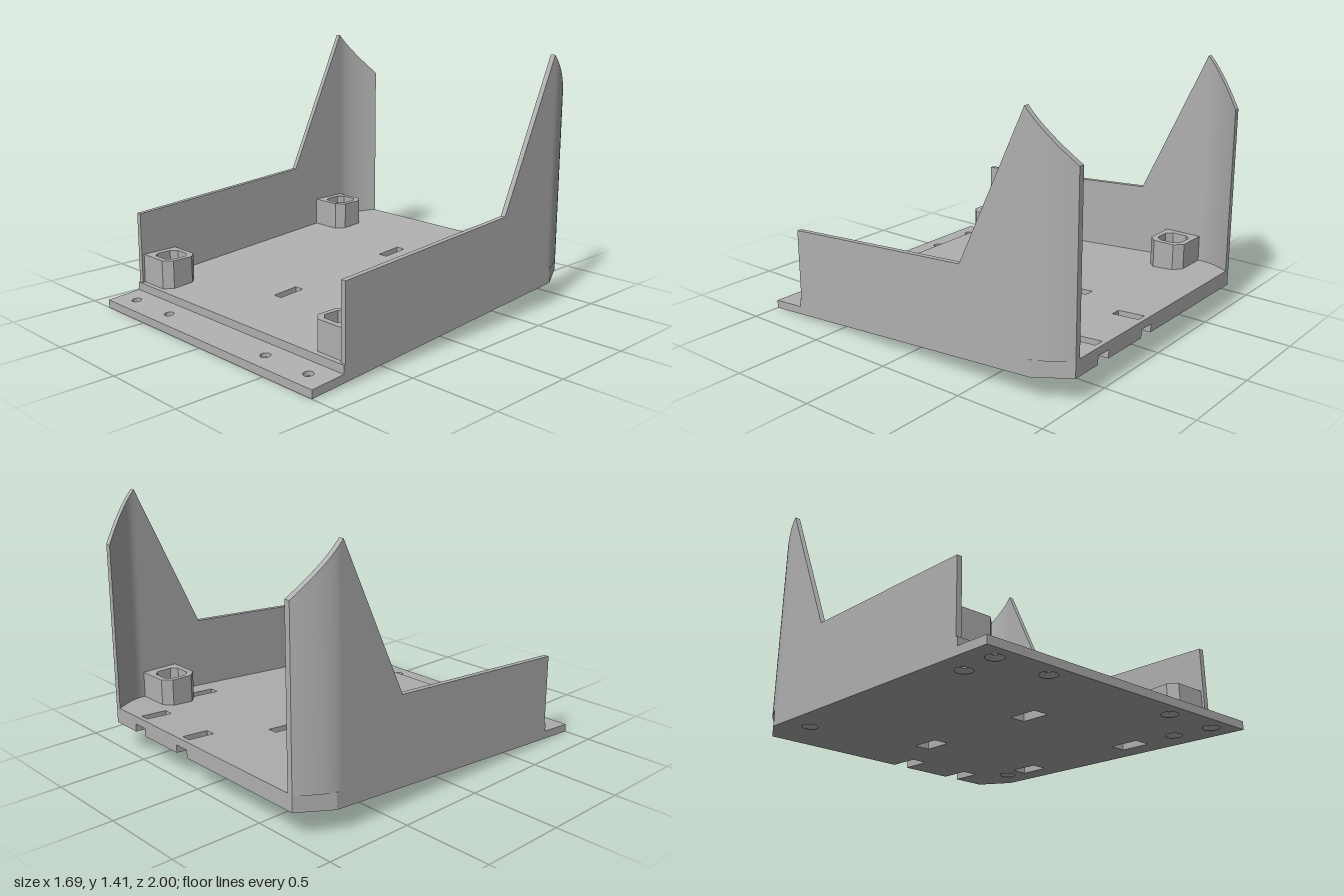
import * as THREE from 'three';
import { toCreasedNormals } from 'three/addons/utils/BufferGeometryUtils.js';

const SLOPE = 0.0725;
const THICK = 0.09;
const rise = z => SLOPE * (1 - z); // underside height at depth z

// Closed outline from [x, z] points; shape y is -z
const outline = (pts, Type = THREE.Shape) =>
  new Type(pts.map(([x, z]) => new THREE.Vector2(x, -z)));
const rect = (x0, x1, z0, z1) =>
  outline([[x0, z0], [x1, z0], [x1, z1], [x0, z1]], THREE.Path);
const circle = (x, z, r) => new THREE.Path().absarc(x, -z, r, 0, Math.PI * 2, true);

// Upright extrusion between two heights, sheared along the slope on request
function slab(shape, y0, y1, sheared) {
  const g = new THREE.ExtrudeGeometry(shape, { depth: y1 - y0, bevelEnabled: false, curveSegments: 16 });
  g.rotateX(-Math.PI / 2).translate(0, y0, 0);
  if (sheared) {
    const p = g.attributes.position;
    for (let i = 0; i < p.count; i++) p.setY(i, p.getY(i) + rise(p.getZ(i)));
    g.computeVertexNormals();
  }
  return g;
}

// Side wall lofted along z, curling inward at the back
function wallGeometry(side) {
  const stations = [0.79, -0.38, -0.77];
  for (let i = 0; i <= 14; i++) stations.push(-0.79 - 0.21 * i / 14);
  const topAt = z => z > -0.38 ? 0.51 + (0.79 - z) * 0.07
    : z > -0.77 ? 0.592 + (-0.38 - z) / 0.39 * 0.823
    : 1.415 - (-0.77 - z) * 1.11;
  const rings = stations.map(z => {
    const t = Math.max(0, (-0.79 - z) / 0.21);
    const xo = 0.843 - 0.098 * Math.pow(t, 1.55);
    const xi = xo - 0.029 - 0.003 * t;
    const lo = rise(z) + THICK - 0.002, hi = topAt(z);
    return [[xo, lo], [xo, hi], [xi, hi], [xi, lo]].map(([x, y]) => [side * x, y, z]);
  });
  const out = [];
  const quad = (a, b, c, d) => {
    const q = side > 0 ? [a, b, c, a, c, d] : [a, c, b, a, d, c];
    q.forEach(v => out.push(...v));
  };
  for (let i = 0; i < rings.length - 1; i++) {
    const A = rings[i], B = rings[i + 1];
    for (let k = 0; k < 4; k++) {
      const n = (k + 1) % 4;
      quad(A[k], B[k], B[n], A[n]);
    }
  }
  const F = rings[0], E = rings[rings.length - 1];
  quad(F[0], F[1], F[2], F[3]);
  quad(E[3], E[2], E[1], E[0]);
  const g = new THREE.BufferGeometry();
  g.setAttribute('position', new THREE.Float32BufferAttribute(out, 3));
  return toCreasedNormals(g, 0.5);
}

export function createModel() {
  const group = new THREE.Group();
  const grey = new THREE.MeshStandardMaterial({ color: 0xb0b0b0, side: THREE.DoubleSide });
  grey.name = 'plain grey';
  const add = (name, geometry) => {
    const m = new THREE.Mesh(geometry, grey);
    m.name = name;
    group.add(m);
    return m;
  };

  const bossHoles = [[-0.7, 0.668], [0.695, 0.668], [-0.7, -0.665], [0.695, -0.665]];
  const flangeHoles = [-0.715, -0.403, 0.4, 0.71].map(x => [x, 0.9]);
  const slots = [[-0.043, -0.457], [0.685, -0.457], [-0.043, 0.362], [0.685, 0.362],
    [0.13, -0.893], [0.515, -0.893]];

  // Base plate in layers: countersunk underside, flange level, raised floor
  const layers = [
    { name: 'baseUnderside', y0: 0, y1: 0.022, front: 1, r: 0.045, recess: true },
    { name: 'baseFlange', y0: 0.022, y1: 0.045, front: 1, r: 0.027, recess: true },
    { name: 'floor', y0: 0.045, y1: THICK, front: 0.8, r: 0.027, recess: false },
  ];
  for (const L of layers) {
    // back edge notches where the tie channels run out underneath
    const back = [];
    if (L.recess) for (const x of [0.13, 0.515])
      back.push([x - 0.045, -1], [x - 0.045, -0.81], [x + 0.045, -0.81], [x + 0.045, -1]);
    const shape = outline([[0.843, L.front], [-0.843, L.front], [-0.843, -0.81], [-0.745, -1],
      ...back, [0.745, -1], [0.843, -0.81]]);
    const holes = L.recess ? [...bossHoles, ...flangeHoles] : bossHoles;
    holes.forEach(([x, z]) => shape.holes.push(circle(x, z, L.r)));
    slots.forEach(([x, z], i) => {
      if (L.recess && i > 3) return;
      const w = L.recess ? 0.045 : 0.028, d = L.recess ? 0.09 : 0.078;
      shape.holes.push(rect(x - w, x + w, z - d, z + d));
    });
    add(L.name, slab(shape, L.y0, L.y1, true));
  }

  // Countersink cones under each screw hole
  for (const [x, z] of [...bossHoles, ...flangeHoles]) {
    const cone = new THREE.CylinderGeometry(0.027, 0.045, 0.022, 24, 1, true);
    add('countersink', cone).position.set(x, rise(z) + 0.011, z);
  }

  // Corner bosses with level tops and eight-sided pockets
  for (const [x, z] of bossHoles) {
    const s = Math.sign(x), c = 0.045, p = 0.075, k = 0.032;
    const zs = Math.sign(z);
    const z0 = z - 0.107, z1 = z + 0.107, inner = 0.592, wall = 0.82;
    const shape = outline([[s * wall, z0], [s * (inner + c), z0], [s * inner, z0 + c],
      [s * inner, z1 - c], [s * (inner + c), z1], [s * wall, z1]]);
    shape.holes.push(outline([[-p, -p + k], [-p + k, -p], [p - k, -p], [p, -p + k],
      [p, p - k], [p - k, p], [-p + k, p], [-p, p - k]].map(([a, b]) => [x + a, z + b]), THREE.Path));
    add('cornerBoss', slab(shape, zs > 0 ? 0.07 : 0.165, zs > 0 ? 0.27 : 0.365, false));
  }

  // Side walls
  add('leftWall', wallGeometry(1));
  add('rightWall', wallGeometry(-1));
  return group;
}
